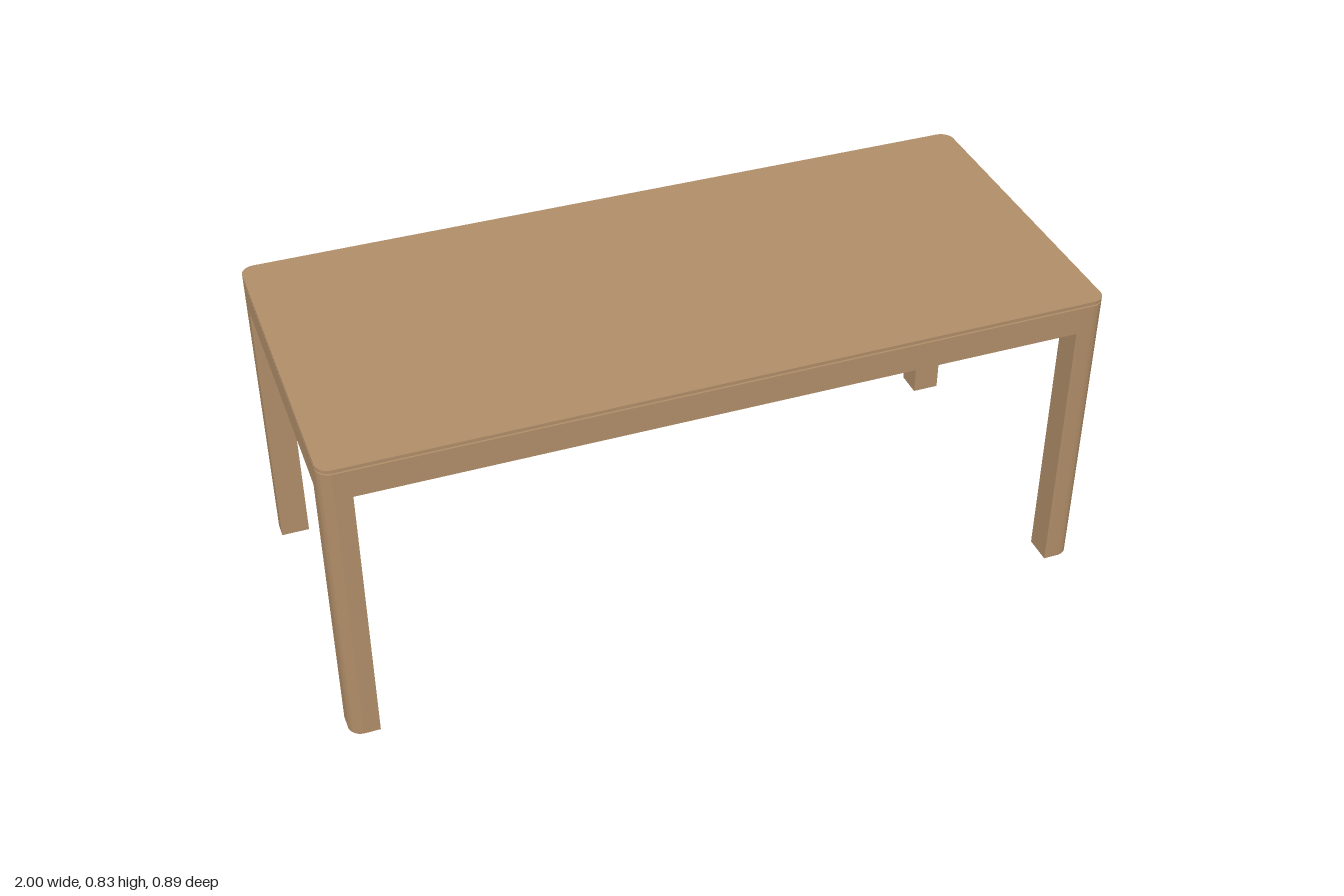
import * as THREE from 'three';
import { toCreasedNormals } from 'three/addons/utils/BufferGeometryUtils.js';

const HX = 1, HZ = 0.445, LEG = 0.075, R = 0.035;
const APRON_Y = 0.745, FRAME_Y = 0.82, TOP_Y = 0.824, HEIGHT = 0.833;
const APRON = 0.04;

// Plan outline raised from y0 to y1, smooth around its rounded corners
function prism(shape, y0, y1) {
  const geo = new THREE.ExtrudeGeometry(shape, { depth: y1 - y0, bevelEnabled: false, curveSegments: 10 });
  geo.rotateX(-Math.PI / 2).translate(0, y0, 0);
  return toCreasedNormals(geo, 0.5);
}

function roundedRect(hx, hz, r) {
  const s = new THREE.Shape();
  s.absarc(hx - r, hz - r, r, 0, Math.PI / 2);
  s.absarc(r - hx, hz - r, r, Math.PI / 2, Math.PI);
  s.absarc(r - hx, r - hz, r, Math.PI, Math.PI * 1.5);
  s.absarc(hx - r, r - hz, r, Math.PI * 1.5, Math.PI * 2);
  s.closePath();
  return s;
}

// Square leg section whose outer corner is rounded to follow the top
function legShape(sx, sz) {
  const s = new THREE.Shape();
  const cx = HX - R, cz = HZ - R;
  s.moveTo(sx * (HX - LEG), sz * (HZ - LEG));
  s.lineTo(sx * HX, sz * (HZ - LEG));
  for (let i = 0; i <= 10; i++) {
    const a = (i / 10) * Math.PI / 2;
    s.lineTo(sx * (cx + R * Math.cos(a)), sz * (cz + R * Math.sin(a)));
  }
  s.lineTo(sx * (HX - LEG), sz * HZ);
  s.closePath();
  return s;
}

export function createModel() {
  const table = new THREE.Group();
  table.name = 'table';
  const wood = new THREE.MeshStandardMaterial({ color: 0xb08d68 });
  wood.name = 'wood';
  const add = (name, geo) => {
    const mesh = new THREE.Mesh(geo, wood);
    mesh.name = name;
    table.add(mesh);
    return mesh;
  };

  // Thin top over a slightly recessed shadow gap
  add('tableTop', prism(roundedRect(HX, HZ, R), TOP_Y, HEIGHT));
  add('shadowGap', prism(roundedRect(HX - 0.01, HZ - 0.01, R - 0.01), FRAME_Y, TOP_Y));

  // Legs
  for (const sx of [-1, 1]) {
    for (const sz of [-1, 1]) {
      const name = (sz > 0 ? 'front' : 'back') + (sx > 0 ? 'Left' : 'Right') + 'Leg';
      add(name, prism(legShape(sx, -sz), 0, FRAME_Y));
    }
  }

  // Aprons between the legs, flush with their outer faces
  const h = FRAME_Y - APRON_Y, y = (FRAME_Y + APRON_Y) / 2;
  for (const s of [-1, 1]) {
    add(s > 0 ? 'frontApron' : 'backApron', new THREE.BoxGeometry(2 * (HX - LEG), h, APRON))
      .position.set(0, y, s * (HZ - APRON / 2));
    add(s > 0 ? 'leftApron' : 'rightApron', new THREE.BoxGeometry(APRON, h, 2 * (HZ - LEG)))
      .position.set(s * (HX - APRON / 2), y, 0);
  }
  return table;
}
